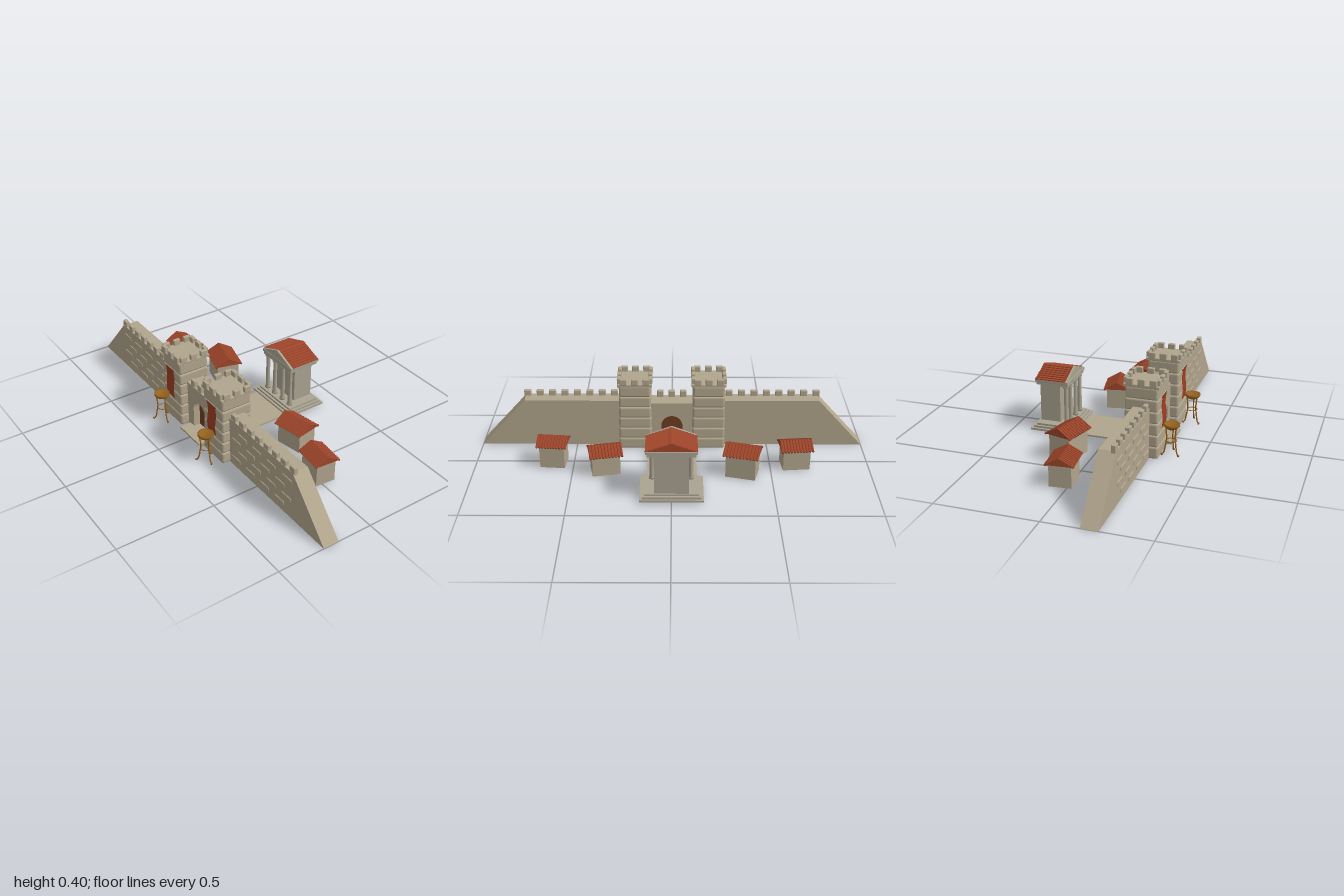
import * as THREE from 'three';
import { mergeGeometries } from 'three/addons/utils/BufferGeometryUtils.js';
import { RoundedBoxGeometry } from 'three/addons/geometries/RoundedBoxGeometry.js';

const mat = (name, color) => Object.assign(new THREE.MeshStandardMaterial({ color }), { name });

export function createModel() {
  const root = new THREE.Group();
  root.name = 'fortifiedGate';
  const stone = mat('stone', 0xb0a48c);
  const marble = mat('marble', 0xaaa391);
  const tile = mat('roof tile', 0xa0462b);
  const cloth = mat('banner cloth', 0x9c3c22);
  cloth.side = THREE.DoubleSide;
  const wood = mat('door wood', 0x6e3c22);
  const bronze = mat('bronze', 0x96621f);

  const add = (name, geo, material, parent = root) => {
    const m = new THREE.Mesh(geo, material);
    m.name = name;
    parent.add(m);
    return m;
  };
  const group = (name, x = 0, y = 0, z = 0, parent = root) => {
    const g = new THREE.Group();
    g.name = name;
    g.position.set(x, y, z);
    parent.add(g);
    return g;
  };
  // box given by its extents on each axis
  const box = (x0, x1, y0, y1, z0, z1) => new THREE.BoxGeometry(x1 - x0, y1 - y0, z1 - z0)
    .translate((x0 + x1) / 2, (y0 + y1) / 2, (z0 + z1) / 2);
  const block = (w, h, d, x, y, z, r = 0.004) => new RoundedBoxGeometry(w, h, d, 2, r).translate(x, y, z);
  // profile drawn in (z, y), extruded along x from x0 to x1
  const alongX = (shape, x0, x1) => new THREE.ExtrudeGeometry(shape,
    { depth: x1 - x0, bevelEnabled: false, curveSegments: 10 }).rotateY(Math.PI / 2).translate(x0, 0, 0);
  const poly = (pts) => new THREE.Shape(pts.map(([a, b]) => new THREE.Vector2(a, b)));

  // Sloped curtain walls, with merlons and raised stones on the outer face
  for (const s of [1, -1]) {
    const wall = group(s > 0 ? 'leftWall' : 'rightWall');
    const pts = [[-0.2 * s, 0], [-1 * s, 0], [-0.765 * s, 0.257], [-0.2 * s, 0.257]];
    add('curtainWall', alongX(poly(pts), -0.261, -0.179), stone, wall);
    const merlons = [], stones = [];
    for (let i = 0; i < 8; i++) merlons.push(block(0.022, 0.04, 0.036, -0.249, 0.266, s * (0.3 + i * 0.065)));
    for (let i = 0; i < 16; i++) {
      const row = i % 4;
      stones.push(block(0.012, 0.022, 0.07, -0.259, 0.045 + row * 0.052,
        s * (0.33 + Math.floor(i / 4) * 0.115 + (row % 2) * 0.05)));
    }
    add('wallMerlons', mergeGeometries(merlons), stone, wall);
    add('raisedStones', mergeGeometries(stones), stone, wall);
  }

  // Square towers of bulging courses with a crenellated top
  for (const s of [1, -1]) {
    const tower = group(s > 0 ? 'leftTower' : 'rightTower', -0.219, 0, s * 0.19);
    const courses = [];
    for (let i = 0; i < 6; i++) {
      const w = 0.172 - i * 0.0018;
      courses.push(block(w, 0.063, w, 0, 0.0315 + i * 0.0592, 0, 0.012));
    }
    add('towerCourses', mergeGeometries(courses), stone, tower);
    add('towerCornice', block(0.178, 0.016, 0.178, 0, 0.364, 0), stone, tower);
    const merlons = [];
    for (let side = 0; side < 4; side++) {
      for (const o of [-0.058, 0, 0.058]) {
        merlons.push(block(0.036, 0.034, 0.02, o, 0.383, 0.08).rotateY(side * Math.PI / 2));
      }
    }
    add('towerMerlons', mergeGeometries(merlons), stone, tower);

    // Hanging cloth, slightly rippled
    const flag = new THREE.PlaneGeometry(0.07, 0.16, 1, 12).rotateY(-Math.PI / 2);
    const p = flag.attributes.position;
    for (let i = 0; i < p.count; i++) p.setX(i, 0.003 * Math.sin(p.getY(i) * 45));
    flag.computeVertexNormals();
    add('banner', flag.translate(-0.09, 0.223, 0), cloth, tower);
    add('bannerRod', new THREE.CylinderGeometry(0.0025, 0.0025, 0.08, 6).rotateX(Math.PI / 2)
      .translate(-0.09, 0.304, 0), wood, tower);
  }

  // Gatehouse with an arched opening and closed doors
  const gate = group('gatehouse');
  const front = poly([[-0.11, 0], [0.11, 0], [0.11, 0.25], [-0.11, 0.25]]);
  const arch = new THREE.Path();
  arch.moveTo(-0.055, 0.001).lineTo(-0.055, 0.12).absarc(0, 0.12, 0.055, Math.PI, 0, true);
  arch.lineTo(0.055, 0.001);
  front.holes.push(arch);
  add('gateWall', alongX(front, -0.26, -0.165), stone, gate);
  const doorShape = new THREE.Shape();
  doorShape.moveTo(-0.057, 0.002).lineTo(0.057, 0.002).lineTo(0.057, 0.12);
  doorShape.absarc(0, 0.12, 0.057, 0, Math.PI, false);
  add('gateDoors', alongX(doorShape, -0.225, -0.182), wood, gate);
  add('gateMerlons', mergeGeometries([-0.06, 0, 0.06].map((z) =>
    block(0.022, 0.036, 0.034, -0.248, 0.266, z))), stone, gate);

  // Paving through the gate to the temple
  add('frontPaving', box(-0.322, -0.13, 0.001, 0.011, -0.088, 0.088), stone);
  add('path', box(-0.165, 0.2, 0.001, 0.01, -0.125, 0.125), stone);

  // Temple: steps, inner chamber, columns, beam, pediment and roof
  const temple = group('temple');
  const steps = [0, 1, 2].map((i) => box(0.176 + i * 0.012, 0.4 - i * 0.012,
    0.009 + i * 0.0103, 0.0193 + i * 0.0103, -0.155 + i * 0.012, 0.155 - i * 0.012));
  add('templeSteps', mergeGeometries(steps), marble, temple);
  add('chamber', box(0.265, 0.371, 0.038, 0.25, -0.083, 0.083), marble, temple);
  const columnProfile = [[0.001, 0.04], [0.015, 0.04], [0.015, 0.048], [0.0115, 0.052], [0.01, 0.23],
    [0.015, 0.236], [0.015, 0.247], [0.001, 0.247]].map(([r, y]) => new THREE.Vector2(r, y));
  for (const z of [-0.096, -0.034, 0.034, 0.096]) {
    add('column', new THREE.LatheGeometry(columnProfile, 12).translate(0.227, 0, z), marble, temple);
  }
  add('architrave', box(0.212, 0.377, 0.245, 0.262, -0.116, 0.116), marble, temple);
  add('cornice', block(0.176, 0.016, 0.246, 0.296, 0.268, 0, 0.003), marble, temple);
  add('pediment', alongX(poly([[-0.123, 0.274], [0.123, 0.274], [0, 0.322]]), 0.21, 0.222), marble, temple);
  // Overlapping tile courses as a sawtooth gable
  const half = [];
  for (let i = 0; i < 8; i++) {
    const t = i / 8;
    const z = 0.124 * (1 - t), y = 0.274 + 0.043 * t;
    half.push([z, y], [z, y + 0.0045]);
  }
  const saw = [...half, [0, 0.32], ...half.slice().reverse().map(([z, y]) => [-z, y])];
  add('templeRoof', alongX(poly(saw), 0.222, 0.381), tile, temple);

  // Cottages: plain walls under a ribbed gable roof whose ridge runs along z
  const cottage = (x, z, turn, w, d, eave, top) => {
    const g = group('cottage', x, 0, z);
    g.rotation.y = turn;
    const hw = w / 2, rise = top - eave - 0.004;
    add('cottageWalls', box(-hw + 0.013, hw - 0.013, 0.003, eave + 0.004, -d / 2 + 0.015, d / 2 - 0.015), stone, g);
    const gable = poly([[-hw, eave], [hw, eave], [0, eave + rise]]);
    add('cottageRoof', new THREE.ExtrudeGeometry(gable, { depth: d - 0.006, bevelEnabled: false })
      .translate(0, 0, -d / 2 + 0.003), tile, g);
    const ribs = [], n = 11, len = Math.hypot(hw, rise);
    for (let i = 0; i < n; i++) {
      for (const s of [1, -1]) {
        ribs.push(new THREE.CylinderGeometry(0.0045, 0.0055, len + 0.004, 6)
          .rotateZ(s * Math.atan2(hw, rise))
          .translate(s * hw / 2, eave + rise / 2, -d / 2 + 0.006 + i * (d - 0.012) / (n - 1)));
      }
    }
    add('roofRibs', mergeGeometries(ribs), tile, g);
  };
  cottage(0.035, -0.625, 0.09, 0.132, 0.166, 0.113, 0.153);
  cottage(0.117, -0.355, -0.26, 0.142, 0.18, 0.127, 0.172);
  cottage(0.09, 0.335, 0.19, 0.136, 0.17, 0.112, 0.156);
  cottage(0.02, 0.6, -0.09, 0.128, 0.156, 0.124, 0.165);

  // Three-legged fire bowls before the towers
  for (const s of [1, -1]) {
    const brazier = group('brazier', -0.353, 0, s * 0.205);
    const bowl = [[0.001, 0.136], [0.02, 0.139], [0.032, 0.147], [0.035, 0.153], [0.039, 0.155],
      [0.039, 0.165], [0.034, 0.165], [0.028, 0.158], [0.001, 0.154]];
    add('bowl', new THREE.LatheGeometry(bowl.map(([r, y]) => new THREE.Vector2(r, y)), 20), bronze, brazier);
    add('legRing', new THREE.TorusGeometry(0.025, 0.002, 6, 20).rotateX(Math.PI / 2)
      .translate(0, 0.079, 0), bronze, brazier);
    for (let i = 0; i < 3; i++) {
      const curve = new THREE.CatmullRomCurve3([[0.047, 0.01], [0.038, 0.02], [0.029, 0.06],
        [0.024, 0.095], [0.027, 0.125], [0.029, 0.146]].map(([r, y]) => new THREE.Vector3(0, y, r)));
      const leg = group('brazierLeg', 0, 0, 0, brazier);
      leg.rotation.y = i * Math.PI * 2 / 3;
      add('legBar', new THREE.TubeGeometry(curve, 14, 0.0036, 6), bronze, leg);
      add('foot', new THREE.SphereGeometry(0.006, 8, 6).translate(0, 0.012, 0.047), bronze, leg);
    }
  }
  return root;
}
